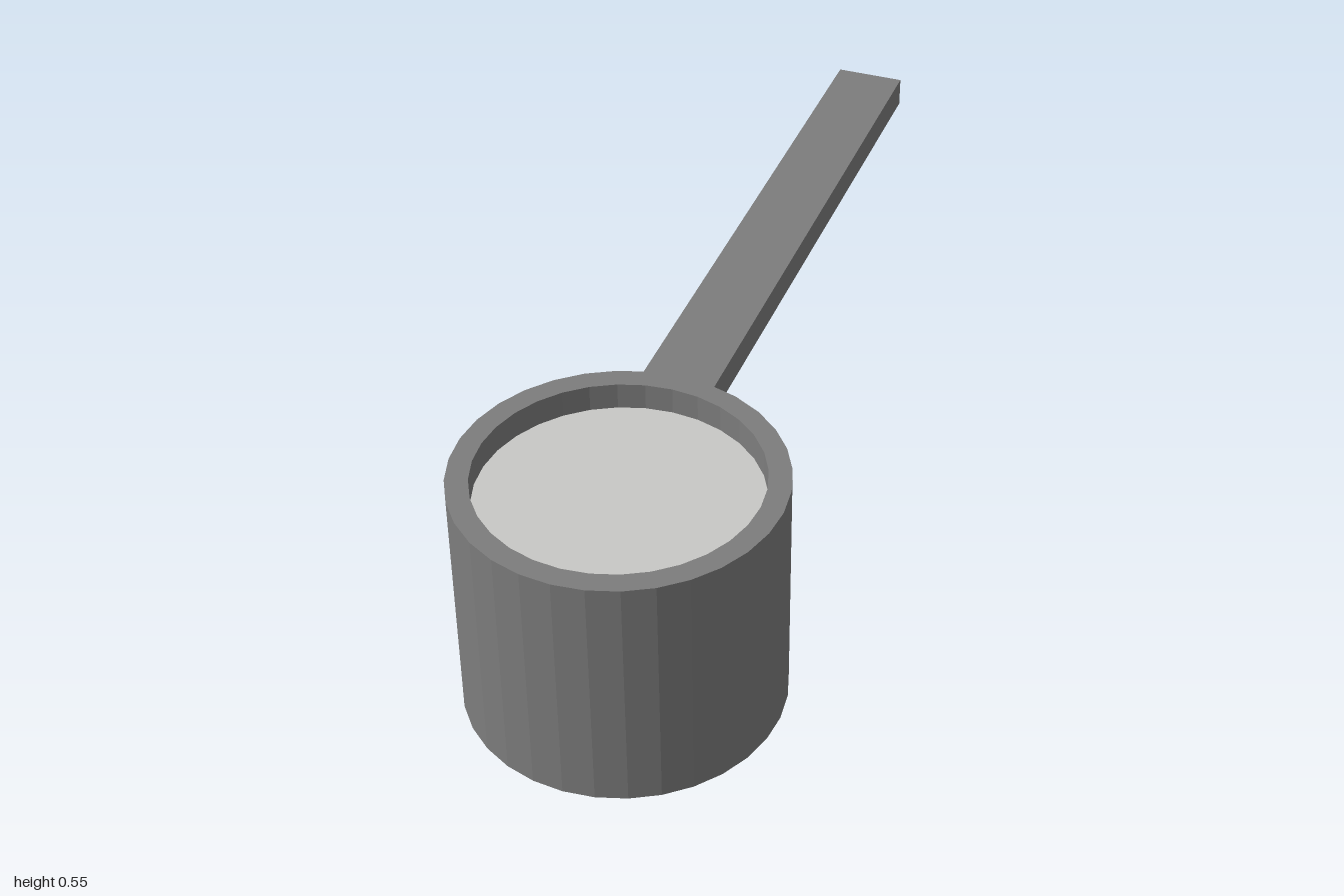
import * as THREE from 'three';
import { toCreasedNormals } from 'three/addons/utils/BufferGeometryUtils.js';

export function createModel() {
  const model = new THREE.Group();
  const metal = new THREE.MeshStandardMaterial({ name: 'grey metal', color: 0x7d7d7d });
  const pale = new THREE.MeshStandardMaterial({ name: 'pale contents', color: 0xc8c8c6 });

  const segments = 32, radius = 0.34, inner = 0.293, height = 0.547, centreZ = 0.66;

  const add = (name, geometry, material, x, y, z) => {
    const mesh = new THREE.Mesh(geometry, material);
    mesh.name = name;
    mesh.position.set(x, y, z);
    model.add(mesh);
    return mesh;
  };

  // Faceted cup with a thick wall and a floor
  const profile = [
    [0, 0], [radius, 0], [radius, height], [inner, height], [inner, 0.05], [0, 0.05],
  ].map(([x, y]) => new THREE.Vector2(x, y));
  const cupGeometry = toCreasedNormals(new THREE.LatheGeometry(profile, segments), 0.1);
  add('cup', cupGeometry, metal, 0, 0, centreZ);

  // Level surface of the contents, a little below the rim
  const surface = add('contents', new THREE.CircleGeometry(inner, segments), pale, 0, 0.488, centreZ);
  surface.rotation.x = -Math.PI / 2;

  // Straight flat handle, let into the wall and flush with the rim
  const handleFront = 0.345, handleBack = -1, thickness = 0.066;
  add('handle', new THREE.BoxGeometry(0.155, thickness, handleFront - handleBack), metal,
    0, height - thickness / 2, (handleFront + handleBack) / 2);

  return model;
}
